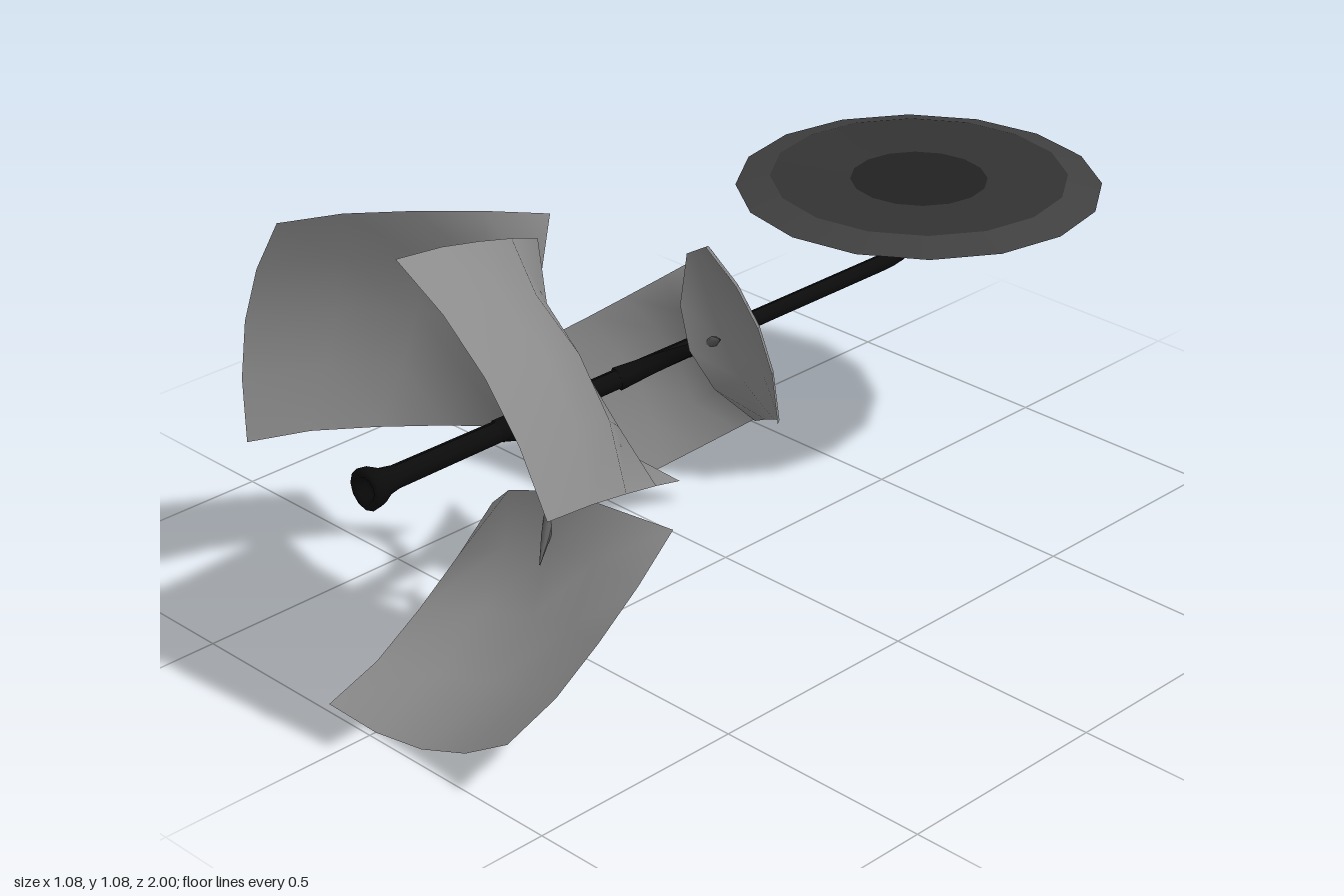
import * as THREE from 'three';

const paint = color => new THREE.MeshStandardMaterial({ color, side: THREE.DoubleSide });
const STEM = paint(0x0b0b0b);
const STALK_TIP = paint(0x606060);
const LEAF = paint(0x8c8c8c);
const HEAD_UNDER = paint(0x141414);
const HEAD_RIM = paint(0x404040);
const HEAD_MIDDLE = paint(0x333333);
const HEAD_CENTRE = paint(0x222222);
const AXIS_Y = 0.545;

function mesh(name, geometry, material) {
  const m = new THREE.Mesh(geometry, material);
  m.name = name;
  return m;
}

// Tube whose radius changes along its path: shrink each ring toward the curve
function taperedTube(curve, segments, sides, radiusAt) {
  const geo = new THREE.TubeGeometry(curve, segments, 1, sides, false);
  const pos = geo.attributes.position;
  const v = new THREE.Vector3();
  for (let i = 0; i <= segments; i++) {
    const centre = curve.getPointAt(i / segments);
    for (let j = 0; j <= sides; j++) {
      const k = i * (sides + 1) + j;
      v.fromBufferAttribute(pos, k).sub(centre).multiplyScalar(radiusAt(i / segments)).add(centre);
      pos.setXYZ(k, v.x, v.y, v.z);
    }
  }
  geo.computeVertexNormals();
  return geo;
}

// Leaf profile as [outward, along stem]: side edge, and offset of the middle rib
const EDGE = [[0, 0], [0.075, 0.115], [0.145, 0.24], [0.208, 0.37], [0.247, 0.505]];
const BOW = [[-0.083, 0.078], [-0.038, -0.022], [0.007, -0.065], [0.034, -0.055], [0.054, 0]];

// Square arched blade, four by four panels
function bladeGeometry(scale, tilt, baseR, baseZ) {
  const geo = new THREE.PlaneGeometry(1, 1, 4, 4);
  const pos = geo.attributes.position;
  const c = Math.cos(tilt), s = Math.sin(tilt);
  for (let i = 0; i < pos.count; i++) {
    const row = Math.floor(i / 5);
    const t = (i % 5) / 2 - 1;
    const bow = 1 - t * t;
    const r = (EDGE[row][0] + BOW[row][0] * bow) * scale;
    const z = (EDGE[row][1] + BOW[row][1] * bow) * scale;
    pos.setXYZ(i, baseR + r * c + z * s, t * 0.277 * scale, baseZ + z * c - r * s);
  }
  geo.computeVertexNormals();
  return geo;
}

const stalkCurve = points => new THREE.CatmullRomCurve3(points.map(([r, z]) => new THREE.Vector3(r, 0, z)));

// One leaf with its curved stalk, whose tip pierces the blade, turned about the stem axis
function leaf(name, degrees, z, small) {
  const g = new THREE.Group();
  g.name = name;
  g.add(mesh('leafBlade', small
    ? bladeGeometry(0.66, Math.PI / 6, 0.17, -0.155)
    : bladeGeometry(1, 0, 0.236, -0.145), LEAF));
  const base = small
    ? [[0, 0], [0.02, -0.055], [0.06, -0.092], [0.13, -0.115]]
    : [[0, 0], [0.02, -0.045], [0.07, -0.085], [0.15, -0.092]];
  const tip = small
    ? [[0.13, -0.115], [0.19, -0.11], [0.25, -0.085]]
    : [[0.15, -0.092], [0.22, -0.062], [0.295, -0.018]];
  g.add(mesh('leafStalk', taperedTube(stalkCurve(base), 10, 8, t => 0.025 - 0.014 * t), STEM));
  g.add(mesh('leafStalkTip', taperedTube(stalkCurve(tip), 8, 8,
    t => 0.011 * Math.min(1, 0.1 + 2.2 * (1 - t))), STALK_TIP));
  g.position.set(0, AXIS_Y, z);
  g.rotation.z = THREE.MathUtils.degToRad(degrees);
  return g;
}

const lathe = (pairs, sides) => new THREE.LatheGeometry(pairs.map(([x, y]) => new THREE.Vector2(x, y)), sides);

export function createModel() {
  const model = new THREE.Group();
  model.name = 'flower';

  // Long stem, bent upward beneath the flower head
  const path = new THREE.CurvePath();
  const V = (y, z) => new THREE.Vector3(0, y, z);
  path.add(new THREE.LineCurve3(V(AXIS_Y, 0.95), V(AXIS_Y, -0.48)));
  path.add(new THREE.CubicBezierCurve3(V(AXIS_Y, -0.48), V(AXIS_Y, -0.56), V(0.56, -0.6), V(0.66, -0.6)));
  model.add(mesh('stem', taperedTube(path, 48, 10,
    t => 0.024 - 0.006 * Math.min(1, t * 1.5) + Math.max(0, t - 0.92) * 0.14), STEM));

  // Flared foot of the stem with a recessed end
  const foot = mesh('stemFoot', lathe(
    [[0.023, 0], [0.029, 0.035], [0.041, 0.058], [0.044, 0.08], [0.026, 0.08], [0.02, 0.062], [0, 0.06]], 12), STEM);
  foot.rotation.x = Math.PI / 2;
  foot.position.set(0, AXIS_Y, 0.9);
  model.add(foot);

  // Sixteen-sided flower head: cupped underside, sloped rim, nearly flat top darkening inward
  const head = new THREE.Group();
  head.name = 'flowerHead';
  head.position.z = -0.6;
  head.add(mesh('headUnderside', lathe(
    [[0.026, 0.63], [0.033, 0.648], [0.1, 0.65], [0.24, 0.69], [0.4, 0.696]], 16), HEAD_UNDER));
  head.add(mesh('headRim', lathe([[0.4, 0.696], [0.325, 0.717]], 16), HEAD_RIM));
  head.add(mesh('headTop', lathe([[0.325, 0.717], [0.15, 0.709]], 16), HEAD_MIDDLE));
  head.add(mesh('headCentre', lathe([[0.15, 0.709], [0, 0.704]], 16), HEAD_CENTRE));
  model.add(head);

  // Three large lower leaves and two small upper ones
  model.add(leaf('upperLeftLeaf', 45, 0.64, false));
  model.add(leaf('rightLeaf', 165, 0.49, false));
  model.add(leaf('lowerLeaf', 285, 0.625, false));
  model.add(leaf('smallLeftLeaf', 32, 0.315, true));
  model.add(leaf('smallRightLeaf', 219, 0, true));
  return model;
}
